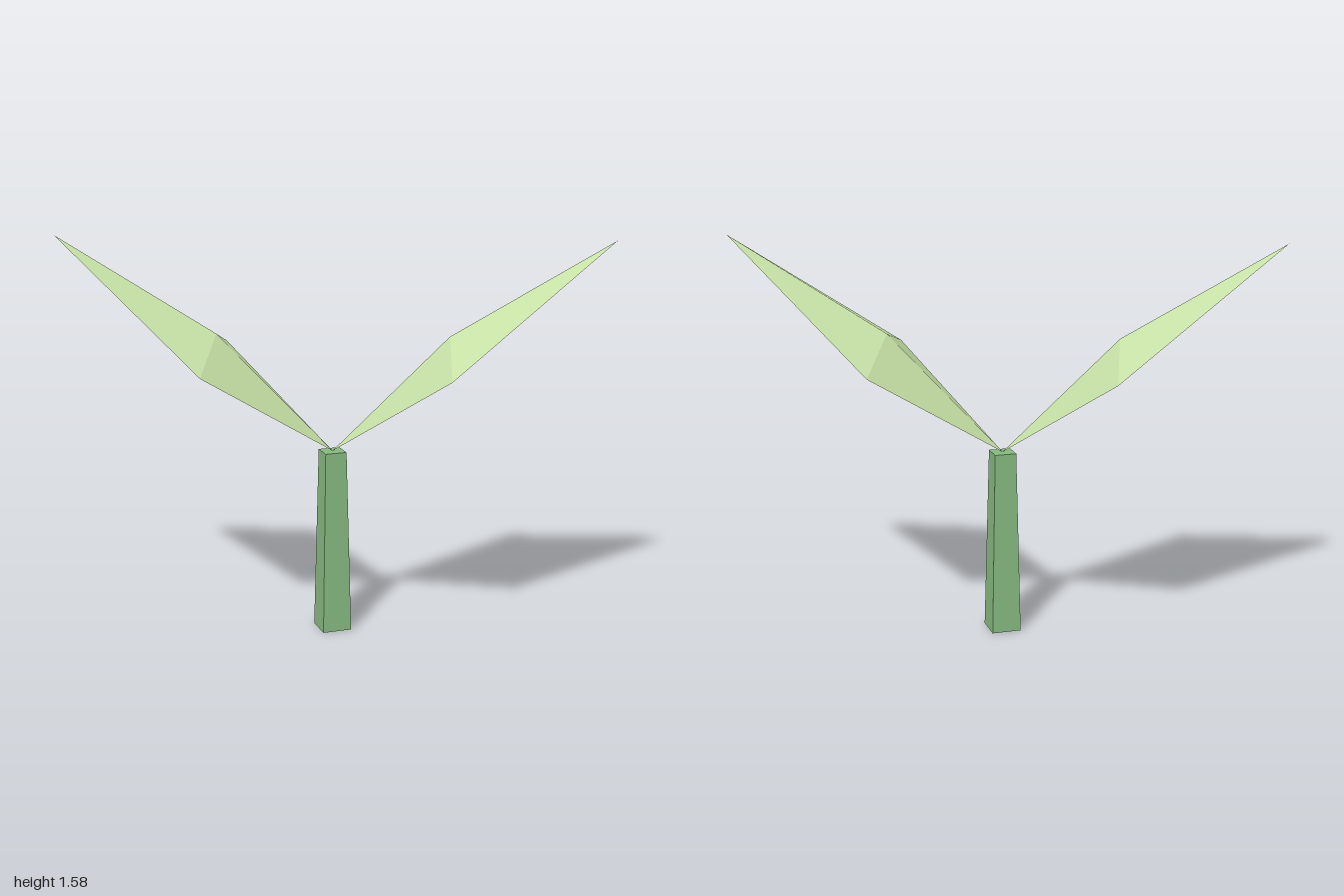
import * as THREE from 'three';

const leafGreen = new THREE.MeshStandardMaterial({ color: 0xcae5a9 });
leafGreen.name = 'leafGreen';
const stemGreen = new THREE.MeshStandardMaterial({ color: 0x86b87f });
stemGreen.name = 'stemGreen';

const STEM_HEIGHT = 0.737;

// Kite-shaped leaf: a rim of four points with a raised centre above and an almost flat underside.
function leafGeometry() {
  const rim = [[0, 0, 0], [0.293, 0.364, -0.514], [1, 0.84, -0.4], [0.567, 0.364, 0.168]];
  const ridge = [0.42, 0.463, -0.17];
  const underside = [0.46, 0.37, -0.18];
  const positions = [];
  rim.forEach((corner, i) => {
    const next = rim[(i + 1) % rim.length];
    positions.push(...next, ...corner, ...ridge);
    positions.push(...corner, ...next, ...underside);
  });
  const geometry = new THREE.BufferGeometry();
  geometry.setAttribute('position', new THREE.Float32BufferAttribute(positions, 3));
  geometry.computeVertexNormals(); // unshared corners keep the facets flat
  return geometry;
}

export function createModel() {
  const model = new THREE.Group();
  model.name = 'sprout';

  // Tapered four-sided stem, corners on the x and z axes
  const stemGeometry = new THREE.CylinderGeometry(0.061, 0.083, STEM_HEIGHT, 4).toNonIndexed();
  stemGeometry.computeVertexNormals();
  const stem = new THREE.Mesh(stemGeometry, stemGreen);
  stem.name = 'stem';
  stem.position.y = STEM_HEIGHT / 2;
  model.add(stem);

  // Two leaves, half a turn apart
  const geometry = leafGeometry();
  ['leftLeaf', 'rightLeaf'].forEach((name, i) => {
    const leaf = new THREE.Mesh(geometry, leafGreen);
    leaf.name = name;
    leaf.position.y = STEM_HEIGHT;
    leaf.rotation.y = i * Math.PI;
    model.add(leaf);
  });

  return model;
}
